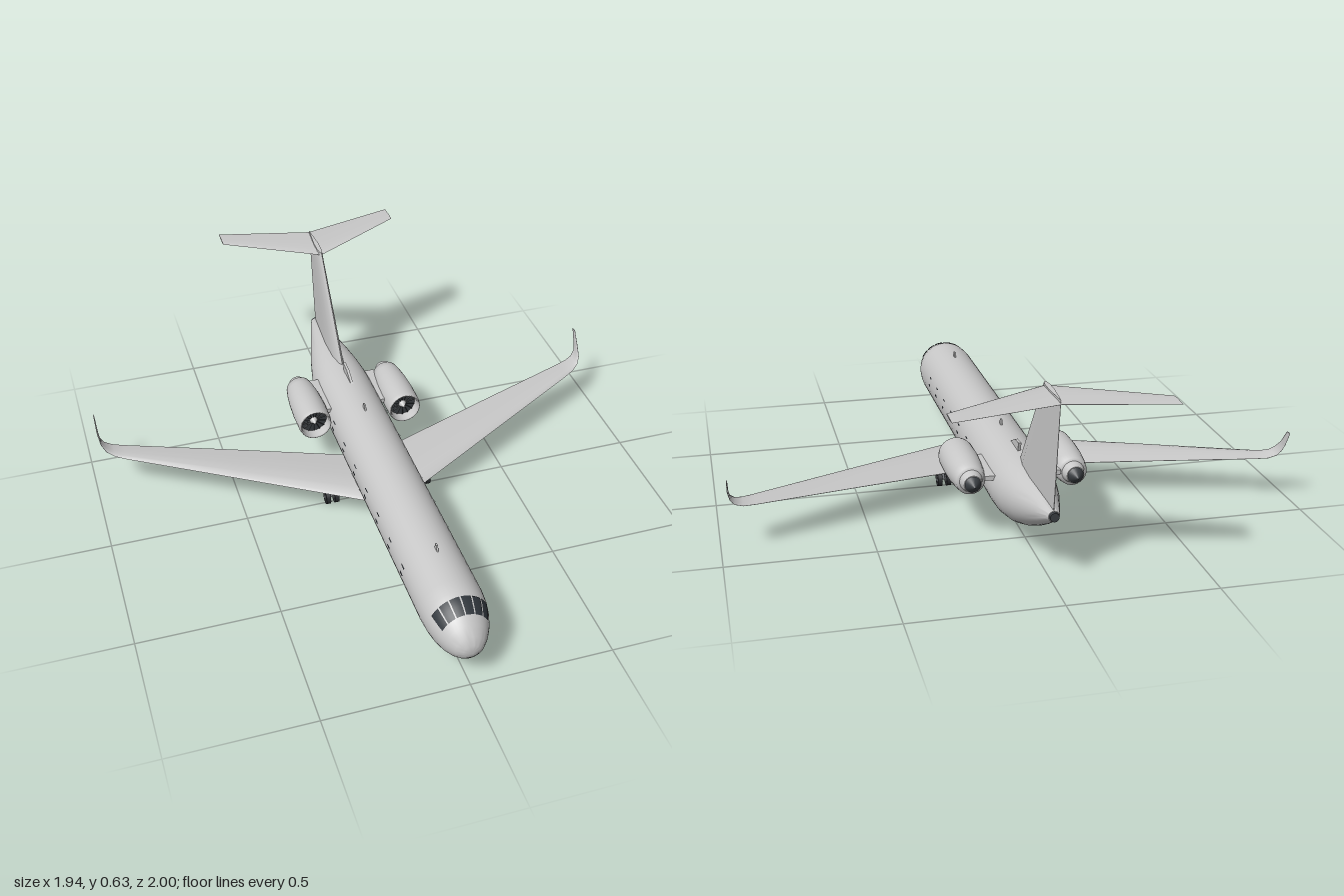
import * as THREE from 'three';
import { toCreasedNormals } from 'three/addons/utils/BufferGeometryUtils.js';

const material = (name, color) => Object.assign(new THREE.MeshStandardMaterial({ color }), { name });
const V = (x, y, z) => new THREE.Vector3(x, y, z);

// Skin over closed rings of points, with a fan at both ends
function loft(rings, crease = 0.7) {
  const n = rings[0].length, pos = [], idx = [];
  rings.forEach(r => r.forEach(p => pos.push(p.x, p.y, p.z)));
  for (let i = 0; i < rings.length - 1; i++) for (let j = 0; j < n; j++) {
    const a = i * n + j, b = i * n + (j + 1) % n;
    idx.push(a, b, a + n, b, b + n, a + n);
  }
  [0, rings.length - 1].forEach((k, end) => {
    const c = rings[k].reduce((s, p) => s.add(p), V(0, 0, 0)).divideScalar(n);
    const ci = pos.length / 3;
    pos.push(c.x, c.y, c.z);
    for (let j = 0; j < n; j++) {
      const a = k * n + j, b = k * n + (j + 1) % n;
      if (end) idx.push(ci, a, b); else idx.push(ci, b, a);
    }
  });
  const g = new THREE.BufferGeometry();
  g.setAttribute('position', new THREE.Float32BufferAttribute(pos, 3));
  g.setIndex(idx);
  return toCreasedNormals(g, crease);
}

// Aerofoil section: leading and trailing z, half thickness, tilt about z
const foil = [[1, 0.05], [0.75, 0.5], [0.45, 0.95], [0.2, 0.95], [0.05, 0.5], [0, 0]];
const foilLoop = [...foil, ...foil.slice(0, 5).reverse().map(([u, t]) => [u, -t])];
const section = ([x, y, lead, trail, t, tilt = 0]) => foilLoop.map(([u, k]) =>
  V(x - Math.sin(tilt) * k * t, y + Math.cos(tilt) * k * t, lead + (trail - lead) * u));
const bothSides = half => [
  ...half.slice(1).reverse().map(([x, y, l, t, h, a = 0]) => [-x, y, l, t, h, -a]), ...half].map(section);

// Fuselage stations: z, top, bottom, half width
const stations = [
  [1.0, 0.148, 0.142, 0.003], [0.995, 0.172, 0.122, 0.028], [0.98, 0.197, 0.102, 0.05], [0.955, 0.225, 0.084, 0.07],
  [0.925, 0.248, 0.071, 0.086], [0.89, 0.266, 0.062, 0.098], [0.85, 0.277, 0.057, 0.106], [0.8, 0.28, 0.055, 0.11],
  [-0.42, 0.28, 0.055, 0.11], [-0.48, 0.28, 0.057, 0.107], [-0.55, 0.278, 0.071, 0.098], [-0.63, 0.273, 0.1, 0.081],
  [-0.7, 0.267, 0.132, 0.062], [-0.77, 0.26, 0.168, 0.042], [-0.835, 0.251, 0.205, 0.024], [-0.852, 0.248, 0.212, 0.018]];

// Point on the fuselage skin; angle runs from the top towards +x
function skin(z, angle, lift = 0) {
  let i = 0;
  while (i < stations.length - 2 && z < stations[i + 1][0]) i++;
  const [a, b] = [stations[i], stations[i + 1]];
  const [, top, bottom, w] = a.map((v, k) => THREE.MathUtils.lerp(v, b[k], (z - a[0]) / (b[0] - a[0])));
  return V(Math.sin(angle) * (w + lift), (top + bottom) / 2 + Math.cos(angle) * ((top - bottom) / 2 + lift), z);
}

// Thin pane that follows the fuselage skin
function pane(z0, z1, a0, a1, lift = 0.003, n = 4) {
  const pos = [], idx = [];
  for (let i = 0; i <= n; i++) for (let j = 0; j <= n; j++)
    pos.push(...skin(z0 + (z1 - z0) * i / n, a0 + (a1 - a0) * j / n, lift).toArray());
  for (let i = 0; i < n; i++) for (let j = 0; j < n; j++) {
    const a = i * (n + 1) + j, c = a + n + 1;
    idx.push(a, a + 1, c, a + 1, c + 1, c);
  }
  const g = new THREE.BufferGeometry();
  g.setAttribute('position', new THREE.Float32BufferAttribute(pos, 3));
  g.setIndex(idx);
  g.computeVertexNormals();
  return g;
}

// Flat plate drawn in (z, y) and given a width along x
function plate(points, width) {
  const shape = new THREE.Shape(points.map(p => new THREE.Vector2(...p)));
  return new THREE.ExtrudeGeometry(shape, { depth: width, bevelEnabled: false })
    .rotateY(-Math.PI / 2).translate(width / 2, 0, 0);
}

export function createModel() {
  const root = new THREE.Group();
  root.name = 'airliner';
  const body = material('light grey paint', 0xc8c8c8);
  const glass = material('dark glass', 0x30363c);
  glass.side = THREE.DoubleSide;
  const dark = material('dark metal', 0x3a3e42);
  const rubber = material('tyre rubber', 0x2b2e31);
  const metal = material('mid grey metal', 0x8a8e92);
  const add = (name, geo, mat, parent = root, x = 0, y = 0, z = 0) => {
    const m = new THREE.Mesh(geo, mat);
    m.name = name;
    m.position.set(x, y, z);
    parent.add(m);
    return m;
  };

  // Fuselage
  add('fuselage', loft(stations.map(([z]) =>
    Array.from({ length: 40 }, (_, j) => skin(z, j / 40 * Math.PI * 2))), 1), body);
  add('tailExhaust', new THREE.CylinderGeometry(0.015, 0.017, 0.014, 16).rotateX(-Math.PI / 2), dark, root, 0, 0.23, -0.855);

  // Cockpit panes, then the cabin window edges on both sides
  for (let i = -3; i < 3; i++)
    add('cockpitWindow', pane(0.93, 0.872, i * 0.375 + 0.025, (i + 1) * 0.375 - 0.025), glass);
  for (let i = 0; i < 7; i++) for (const side of [-1, 1]) for (const [y, h] of [[0.204, 0.005], [0.176, 0.008]]) {
    const mid = Math.acos((y - 0.1675) / 0.1125), half = h / 0.225;
    const z = 0.62 - i * 0.137, a = side * mid;
    add('cabinWindowEdge', pane(z + 0.013, z - 0.013, a - half, a + half, 0.002), glass);
  }

  // Wings with curved winglets
  add('wings', loft(bothSides([
    [0, 0.1, 0.2, -0.095, 0.02], [0.11, 0.107, 0.143, -0.13, 0.018], [0.5, 0.131, -0.072, -0.253, 0.011],
    [0.88, 0.152, -0.283, -0.372, 0.006], [0.92, 0.156, -0.307, -0.385, 0.005, 0.25],
    [0.947, 0.167, -0.327, -0.393, 0.004, 0.7], [0.962, 0.187, -0.348, -0.402, 0.003, 1.3],
    [0.967, 0.215, -0.378, -0.417, 0.003, 1.5], [0.969, 0.266, -0.418, -0.443, 0.002, 1.55]])), body);

  // T-tail
  const up = Math.PI / 2;
  add('tailFin', loft([[0, 0.235, -0.415, -0.845, 0.021, up], [0, 0.28, -0.452, -0.855, 0.02, up],
    [0, 0.628, -0.722, -0.906, 0.009, up]].map(section)), body);
  add('tailplane', loft(bothSides([[0, 0.617, -0.728, -0.915, 0.006], [0.347, 0.619, -0.918, -1.0, 0.003]])), body);

  // Engines on the rear fuselage
  const nacelle = [[0.036, -0.462], [0.049, -0.458], [0.055, -0.425], [0.061, -0.37], [0.064, -0.3], [0.063, -0.225],
    [0.06, -0.208], [0.057, -0.205], [0.053, -0.21], [0.051, -0.25]].map(p => new THREE.Vector2(...p));
  for (const side of [-1, 1]) {
    const engine = new THREE.Group();
    engine.name = side > 0 ? 'leftEngine' : 'rightEngine';
    engine.position.set(side * 0.176, 0.205, 0);
    root.add(engine);
    add('nacelle', new THREE.LatheGeometry(nacelle, 32).rotateX(Math.PI / 2), body, engine);
    add('fanDisc', new THREE.CircleGeometry(0.052, 32), dark, engine, 0, 0, -0.245);
    for (let k = 0; k < 14; k++) {
      const blade = new THREE.BoxGeometry(0.005, 0.036, 0.002).rotateY(0.5).translate(0, 0.032, 0);
      add('fanBlade', blade.rotateZ(k / 14 * Math.PI * 2), rubber, engine, 0, 0, -0.241);
    }
    add('spinner', new THREE.ConeGeometry(0.016, 0.03, 20).rotateX(Math.PI / 2), body, engine, 0, 0, -0.228);
    add('nozzle', new THREE.CylinderGeometry(0.04, 0.03, 0.035, 24).rotateX(Math.PI / 2), body, engine, 0, 0, -0.475);
    add('exhaustCone', new THREE.ConeGeometry(0.029, 0.036, 24).rotateX(-Math.PI / 2), dark, engine, 0, 0, -0.509);
    add('pylon', new THREE.BoxGeometry(0.05, 0.016, 0.2), body, root, side * 0.106, 0.212, -0.37);
  }

  // Aerials and dorsal intake
  add('dorsalIntake', plate([[-0.31, 0.275], [-0.375, 0.307], [-0.425, 0.311], [-0.415, 0.275]], 0.01), body);
  for (const z of [0.665, -0.14])
    add('topAerial', plate([[z, 0.275], [z - 0.012, 0.3], [z - 0.025, 0.3], [z - 0.025, 0.275]], 0.006), body);
  add('bellyAerial', plate([[0.262, 0.06], [0.245, 0.034], [0.232, 0.034], [0.227, 0.06]], 0.006), body);

  // Landing gear: twin wheels on a strut
  function gear(name, x, z, r, spread, strutTop) {
    const g = new THREE.Group();
    g.name = name;
    g.position.set(x, r, z);
    root.add(g);
    for (const s of [-1, 1]) {
      add('tyre', new THREE.CylinderGeometry(r, r, 0.016, 24).rotateZ(up), rubber, g, s * spread);
      add('hub', new THREE.CylinderGeometry(r * 0.5, r * 0.5, 0.019, 16).rotateZ(up), metal, g, s * spread);
    }
    add('axle', new THREE.CylinderGeometry(0.004, 0.004, spread * 2, 10).rotateZ(up), metal, g);
    add('strut', new THREE.CylinderGeometry(0.005, 0.005, strutTop - r, 12), metal, g, 0, (strutTop - r) / 2);
  }
  gear('noseGear', 0, 0.74, 0.024, 0.013, 0.075);
  for (const side of [-1, 1]) {
    gear(side > 0 ? 'leftMainGear' : 'rightMainGear', side * 0.179, 0, 0.027, 0.016, 0.11);
    add('gearDoor', new THREE.BoxGeometry(0.004, 0.042, 0.042), body, root, side * 0.207, 0.085, 0);
  }
  return root;
}
